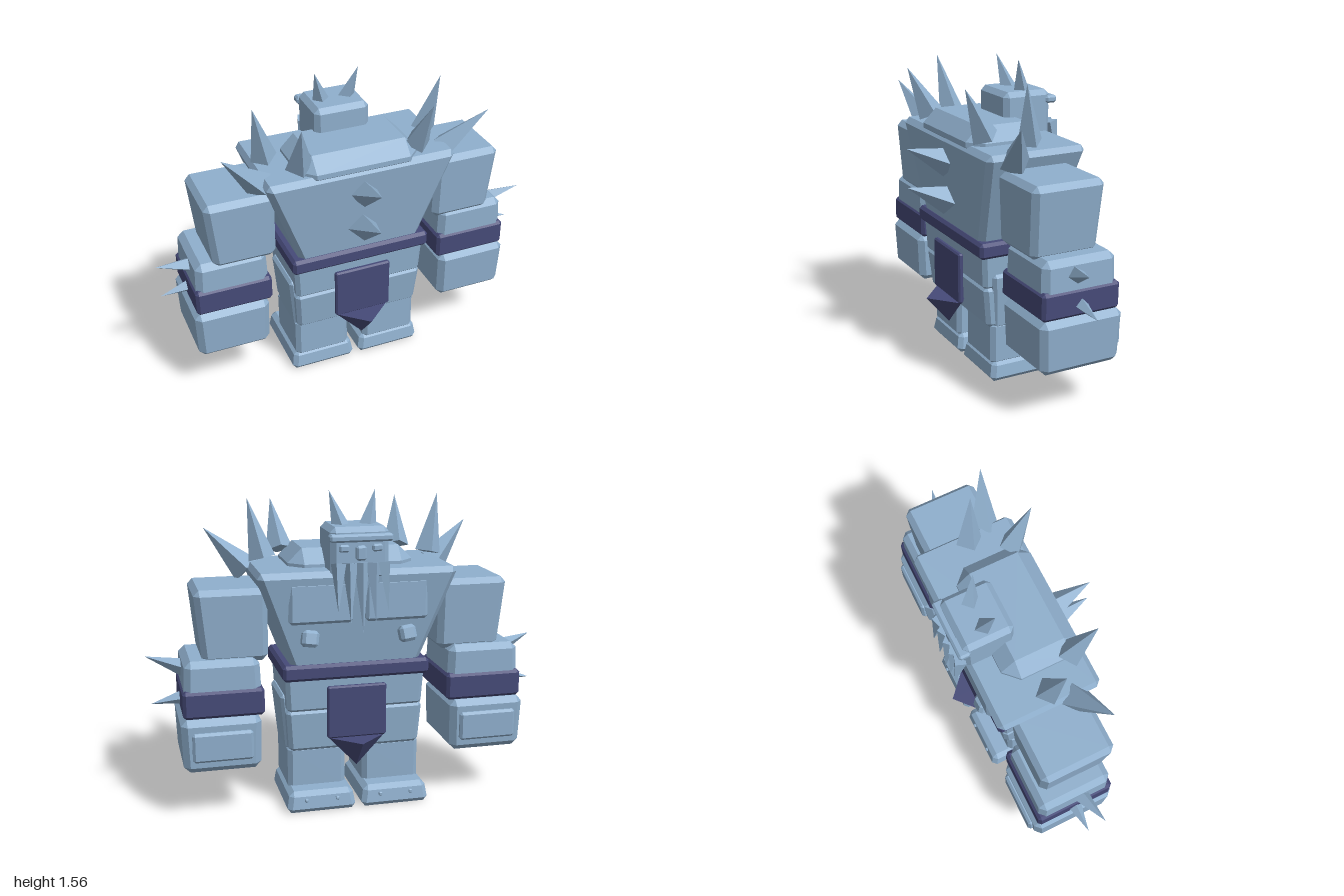
import * as THREE from 'three';
import { ConvexGeometry } from 'three/addons/geometries/ConvexGeometry.js';

export function createModel() {
  const model = new THREE.Group();
  const stone = new THREE.MeshStandardMaterial({ color: 0x8fafcd, flatShading: true });
  stone.name = 'blue stone';
  const cloth = new THREE.MeshStandardMaterial({ color: 0x464a78, flatShading: true });
  cloth.name = 'purple cloth';

  function add(name, geometry, material = stone) {
    const mesh = new THREE.Mesh(geometry, material);
    mesh.name = name;
    model.add(mesh);
    return mesh;
  }

  // Chamfered block; rectangles are [x0, x1, z0, z1] and may differ to make a taper
  function block(name, y0, y1, low, b = 0.025, high = low, material = stone) {
    const points = [];
    const corner = (ix, iy, iz, bx, by, bz) => {
      const y = iy ? y1 - by : y0 + by;
      const t = (y - y0) / (y1 - y0);
      const r = low.map((v, i) => v + (high[i] - v) * t);
      points.push(new THREE.Vector3(ix ? r[1] - bx : r[0] + bx, y, iz ? r[3] - bz : r[2] + bz));
    };
    for (const ix of [0, 1]) for (const iy of [0, 1]) for (const iz of [0, 1]) {
      corner(ix, iy, iz, 0, b, b);
      corner(ix, iy, iz, b, 0, b);
      corner(ix, iy, iz, b, b, 0);
    }
    return add(name, new ConvexGeometry(points), material);
  }

  // Four-sided spike from the centre of its base to its tip
  function spike(name, base, tip, radius, material = stone) {
    const a = new THREE.Vector3(...base), d = new THREE.Vector3(...tip).sub(a);
    const length = d.length();
    const geometry = new THREE.ConeGeometry(radius, length, 4).toNonIndexed();
    geometry.computeVertexNormals();
    geometry.translate(0, length / 2, 0);
    const mesh = add(name, geometry, material);
    mesh.quaternion.setFromUnitVectors(new THREE.Vector3(0, 1, 0), d.normalize());
    mesh.position.copy(a);
    return mesh;
  }

  // Rectangle mirrored to side s
  const side = (s, x0, x1, z0, z1) => (s > 0 ? [x0, x1, z0, z1] : [-x1, -x0, z0, z1]);

  // Trunk
  block('torso', 0.7, 1.2, [-0.31, 0.31, -0.255, 0.15], 0.028, [-0.495, 0.495, -0.33, 0.2]);
  block('shoulderHump', 1.12, 1.285, [-0.31, 0.31, -0.2, 0.19], 0.07);
  block('belt', 0.66, 0.74, [-0.365, 0.365, -0.28, 0.172], 0.015, undefined, cloth);
  block('waist', 0.49, 0.68, [-0.34, 0.34, -0.245, 0.14], 0.02, [-0.35, 0.35, -0.255, 0.15]);
  block('hips', 0.285, 0.505, [-0.33, 0.33, -0.23, 0.115], 0.02, [-0.345, 0.345, -0.245, 0.14]);

  // Hanging cloths with pointed ends, on both faces
  for (const z of [0.17, -0.265]) {
    block('loincloth', 0.36, 0.625, [-0.148, 0.148, z - 0.014, z + 0.014], 0.008, undefined, cloth);
    const point = spike('loinclothPoint', [0, 0.36, z], [0, 0.21, z], 0.125, cloth);
    point.scale.x = 1.12;
  }

  // Head, brow and beard
  block('head', 1.15, 1.405, [-0.142, 0.142, -0.33, -0.075], 0.025);
  block('brow', 1.338, 1.375, [-0.152, 0.152, -0.36, -0.3], 0.01);
  block('nose', 1.25, 1.32, [-0.025, 0.025, -0.355, -0.31], 0.01);
  for (let i = -2; i <= 2; i++) {
    const x = i * 0.055;
    spike('beardSpike', [x, 1.24, -0.345], [x * 1.1, 0.915 + Math.abs(i) * 0.05, -0.39], 0.037);
  }

  // Spikes down the spine
  for (const y of [1.06, 0.865]) spike('backSpike', [0, y, 0.165], [0, y + 0.093, 0.39], 0.075);

  for (const s of [1, -1]) {
    // Head and shoulder spikes
    spike('headSpike', [s * 0.065, 1.385, -0.205], [s * 0.113, 1.56, -0.16], 0.046);
    block('eye', 1.29, 1.325, side(s, 0.055, 0.105, -0.345, -0.315), 0.008);
    spike('outerShoulderSpike', [s * 0.48, 1.155, 0.06], [s * 0.68, 1.36, 0.14], 0.075);
    spike('middleShoulderSpike', [s * 0.42, 1.23, -0.05], [s * 0.48, 1.515, 0], 0.066);
    spike('innerShoulderSpike', [s * 0.305, 1.245, 0.12], [s * 0.328, 1.485, 0.235], 0.068);

    // Chest plate and stud
    block('chestPlate', 0.95, 1.15, side(s, 0.03, 0.34, -0.322, -0.25), 0.015);
    const stud = block('chestStud', -0.04, 0.04, [-0.04, 0.04, -0.035, 0.035], 0.015);
    stud.position.set(s * 0.24, 0.88, -0.305);
    stud.rotation.set(0.25, 0, s * 0.15);

    // Arm
    block('upperArm', 0.765, 1.12, side(s, 0.425, 0.74, -0.235, 0.11), 0.028,
      side(s, 0.425, 0.775, -0.25, 0.125));
    block('forearm', 0.56, 0.79, side(s, 0.465, 0.84, -0.285, 0.105), 0.03,
      side(s, 0.475, 0.83, -0.28, 0.1));
    block('bracer', 0.515, 0.65, side(s, 0.457, 0.845, -0.295, 0.112), 0.015, undefined, cloth);
    block('fist', 0.248, 0.515, side(s, 0.48, 0.85, -0.305, 0.11), 0.03,
      side(s, 0.475, 0.86, -0.315, 0.122));
    block('knucklePlate', 0.31, 0.455, side(s, 0.52, 0.81, -0.332, -0.29), 0.012);
    spike('forearmSpike', [s * 0.81, 0.71, -0.065], [s * 1.0, 0.767, -0.02], 0.046);
    spike('bracerSpike', [s * 0.835, 0.57, -0.09], [s * 0.98, 0.545, -0.085], 0.034);

    // Leg and foot
    block('hipPlate', 0.28, 0.57, side(s, 0.28, 0.337, -0.17, 0.08), 0.015,
      side(s, 0.29, 0.365, -0.19, 0.1));
    block('leg', 0.08, 0.31, side(s, 0.045, 0.335, -0.215, 0.095), 0.022);
    block('foot', 0, 0.105, side(s, 0.012, 0.362, -0.328, 0.108), 0.022,
      side(s, 0.03, 0.345, -0.31, 0.09));
    for (const x of [0.11, 0.265]) {
      block('toeStud', 0.055, 0.073, [s * x - 0.009, s * x + 0.009, -0.328, -0.305], 0.004);
    }
  }
  return model;
}
